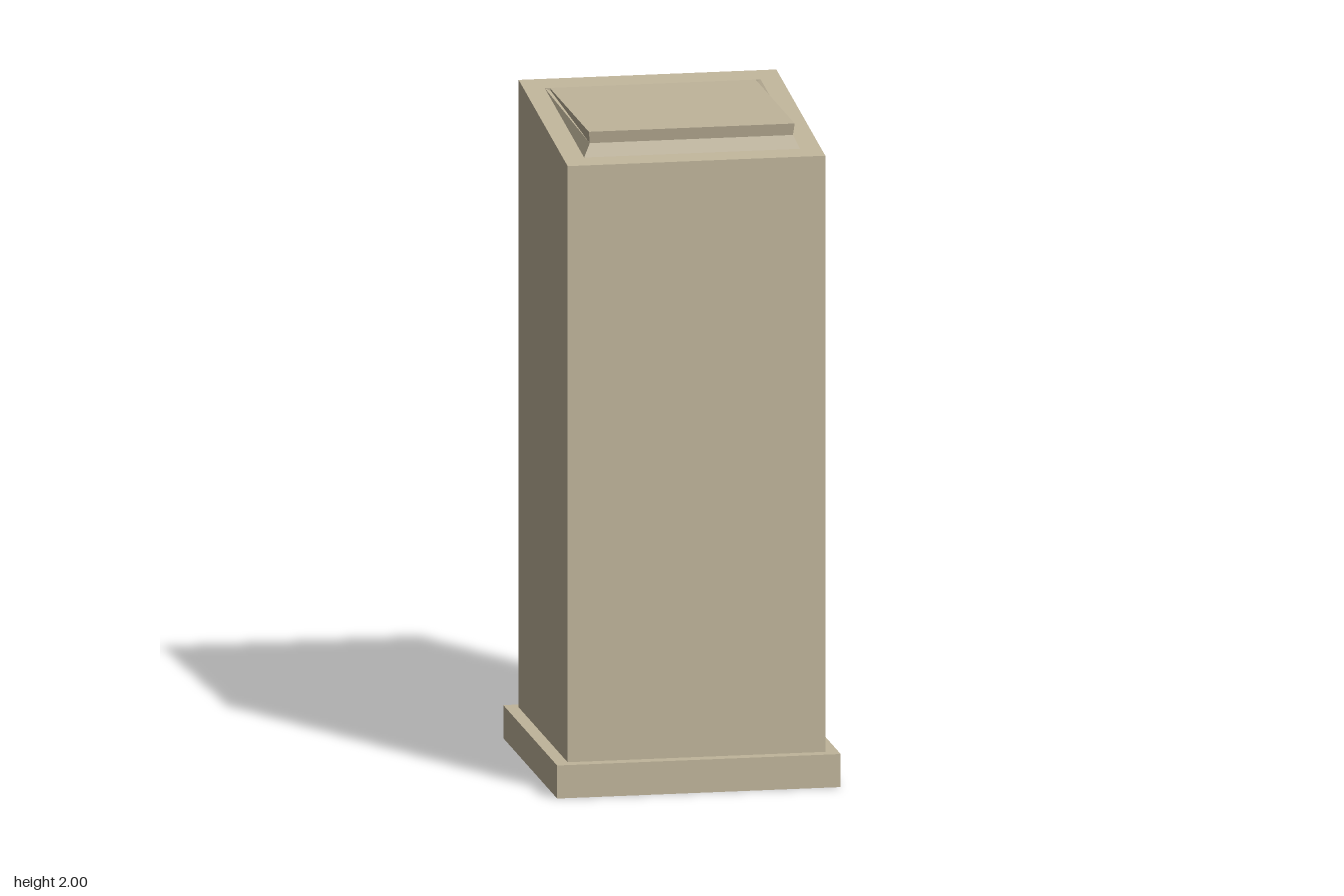
import * as THREE from 'three';

const material = new THREE.MeshStandardMaterial({ color: 0xbfb49a, flatShading: true, side: THREE.DoubleSide });

// height of the slanted top, falling towards the front
const slope = (z) => 1.9525 - 0.1224 * z;

// rectangular ring of four corners, with separate front and back heights
const ring = (x, zFront, zBack, yFront, yBack) => [
  [-x, yFront, zFront], [x, yFront, zFront], [x, yBack, zBack], [-x, yBack, zBack],
];
const slopeRing = (x, zFront, zBack) => ring(x, zFront, zBack, slope(zFront), slope(zBack));

// joins rings with quads, optionally closing the last one
function loft(name, rings, cap) {
  const positions = [];
  const quad = (a, b, c, d) => positions.push(...a, ...b, ...c, ...a, ...c, ...d);
  for (let r = 0; r < rings.length - 1; r++) {
    for (let i = 0; i < 4; i++) {
      const j = (i + 1) % 4;
      quad(rings[r][i], rings[r][j], rings[r + 1][j], rings[r + 1][i]);
    }
  }
  if (cap) quad(...rings[rings.length - 1]);
  const geometry = new THREE.BufferGeometry();
  geometry.setAttribute('position', new THREE.Float32BufferAttribute(positions, 3));
  geometry.computeVertexNormals();
  const mesh = new THREE.Mesh(geometry, material);
  mesh.name = name;
  return mesh;
}

export function createModel() {
  const group = new THREE.Group();
  group.name = 'pedestal';

  // square plinth
  const plinth = new THREE.Mesh(new THREE.BoxGeometry(0.854, 0.1, 0.854), material);
  plinth.position.y = 0.05;
  plinth.name = 'plinth';
  group.add(plinth);

  // column with a slanted frame around the lid opening
  const opening = slopeRing(0.325, 0.318, -0.306);
  group.add(loft('column', [
    ring(0.388, 0.388, -0.388, 0.1, 0.1),
    slopeRing(0.388, 0.388, -0.388),
    opening,
  ], false));

  // level wedge lid with pinched sides
  group.add(loft('lid', [
    opening,
    ring(0.306, 0.307, -0.306, 1.954, 1.98),
    ring(0.31, 0.314, -0.306, 1.99, 1.99),
  ], true));

  return group;
}
